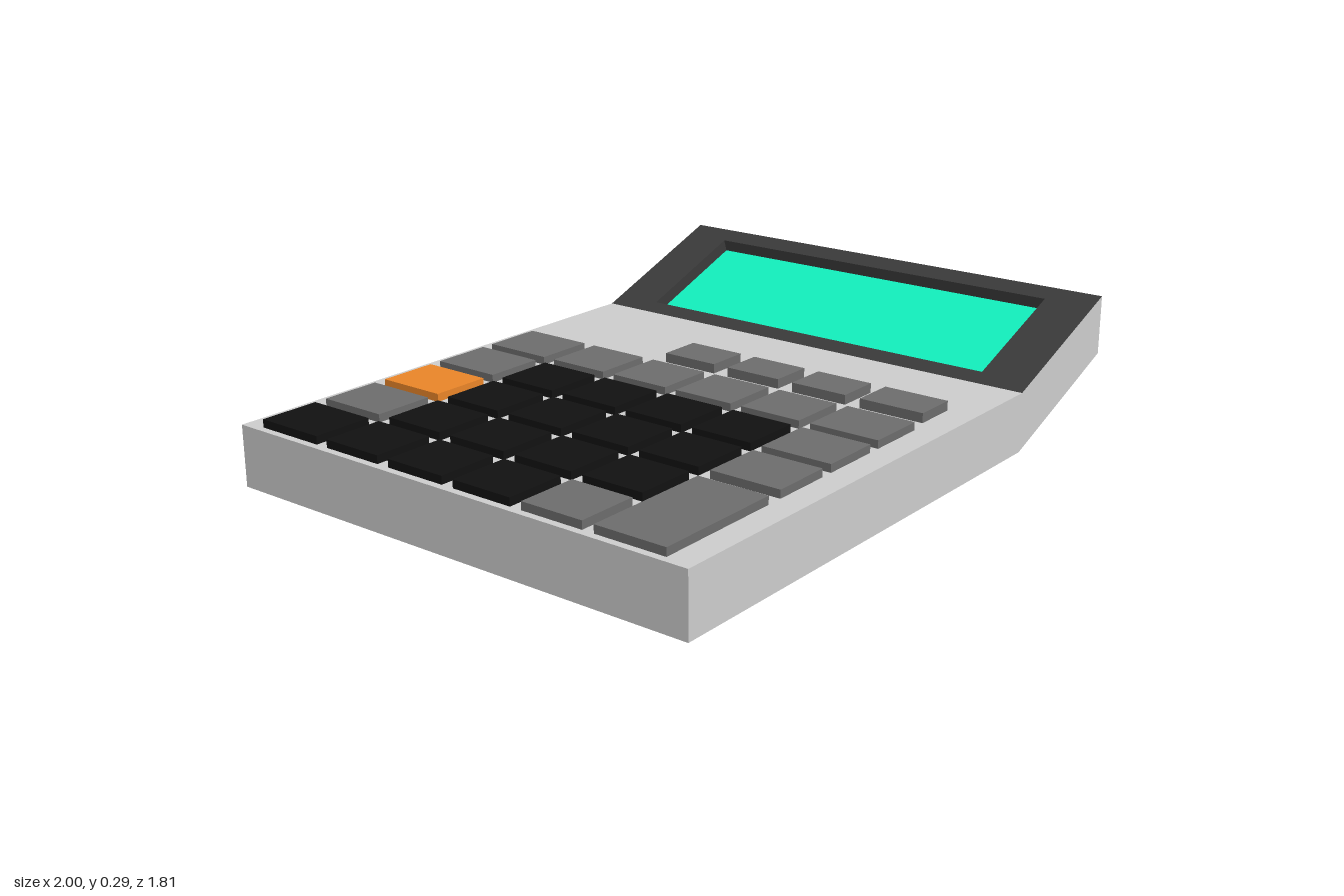
import * as THREE from 'three';

const HALF_W = 0.814, HALF_D = 0.618, HINGE = 0.424, TOP = 0.145;
const SLOPE = TOP / (HALF_W - HINGE);

const paint = (color) => new THREE.MeshStandardMaterial({ color, flatShading: true });

// Flat-faced mesh from four-cornered faces
function facets(name, quads, material) {
  const points = quads.flatMap(([a, b, c, d]) => [a, b, c, a, c, d]).flat();
  const geometry = new THREE.BufferGeometry();
  geometry.setAttribute('position', new THREE.Float32BufferAttribute(points, 3));
  geometry.computeVertexNormals();
  const mesh = new THREE.Mesh(geometry, material);
  mesh.name = name;
  return mesh;
}

// Rectangle lying parallel to the sloped display, sunk by a given drop
function slopeRect(x0, x1, z0, z1, drop) {
  return [[x0, z1], [x1, z1], [x1, z0], [x0, z0]]
    .map(([x, z]) => [x, TOP + SLOPE * (x - HINGE) - drop, z]);
}

const ring = (outer, inner) => outer.map((p, i) => {
  const j = (i + 1) % 4;
  return [p, outer[j], inner[j], inner[i]];
});

export function createModel() {
  const model = new THREE.Group();
  model.name = 'calculator';

  // Bent case, left open where the display panel sits
  const profile = [[-HALF_W, 0], [HINGE, 0], [HALF_W, TOP], [HALF_W, 2 * TOP], [HINGE, TOP], [-HALF_W, TOP]];
  const at = (i, z) => [profile[i][0], profile[i][1], z];
  const caseFaces = [];
  for (let i = 0; i < 6; i++) {
    const j = (i + 1) % 6;
    if (i !== 3) caseFaces.push([at(i, -HALF_D), at(j, -HALF_D), at(j, HALF_D), at(i, HALF_D)]);
  }
  for (const side of [[0, 1, 4, 5], [1, 2, 3, 4]]) {
    caseFaces.push(side.map((i) => at(i, HALF_D)));
    caseFaces.push([...side].reverse().map((i) => at(i, -HALF_D)));
  }
  model.add(facets('case', caseFaces, paint(0xcccccc)));

  // Dark display surround with a sunken screen
  const outer = slopeRect(HINGE, HALF_W, -HALF_D, HALF_D, 0);
  const opening = slopeRect(0.465, 0.766, -0.497, 0.49, 0);
  const floor = slopeRect(0.485, 0.776, -0.497, 0.49, 0.034);
  model.add(facets('displayFrame', [...ring(outer, opening), ...ring(opening, floor)], paint(0x3a3a3a)));
  model.add(facets('screen', [floor], paint(0x12f0bd)));

  // Keypad: k black, g grey, o orange, w wide grey
  const keyPaint = { k: paint(0x111111), g: paint(0x6c6c6c), o: paint(0xe88428) };
  keyPaint.w = keyPaint.g;
  const names = { k: 'blackKey', g: 'greyKey', o: 'orangeKey', w: 'wideKey' };
  const keypad = new THREE.Group();
  keypad.name = 'keypad';
  function addKey(name, x, z, w, d, top, material) {
    const base = TOP - 0.01;
    const key = new THREE.Mesh(new THREE.BoxGeometry(w, top - base, d), material);
    key.position.set(x + w / 2, (top + base) / 2, z + d / 2);
    key.name = name;
    keypad.add(key);
  }
  const rows = [[-0.566, 0.174], [-0.36, 0.155], [-0.173, 0.155], [0.013, 0.155], [0.198, 0.155], [0.382, 0.173]];
  const layout = ['kgogg', 'kkkkg', 'kkkkg', 'kkkkg', 'gkkkg', 'w ggg'];
  layout.forEach((line, r) => [...line].forEach((type, c) => {
    if (type === ' ') return;
    addKey(names[type], -0.797 + 0.1765 * c, rows[r][0], type === 'w' ? 0.314 : 0.146, rows[r][1], 0.164, keyPaint[type]);
  }));

  // Narrow function keys beside the keypad
  for (const [z, d] of rows.slice(2)) addKey('functionKey', 0.105, z, 0.107, d - 0.01, 0.168, keyPaint.g);
  model.add(keypad);

  // The whole device stands turned in plan
  model.rotation.y = THREE.MathUtils.degToRad(25.3);
  const root = new THREE.Group();
  root.add(model);
  return root;
}
